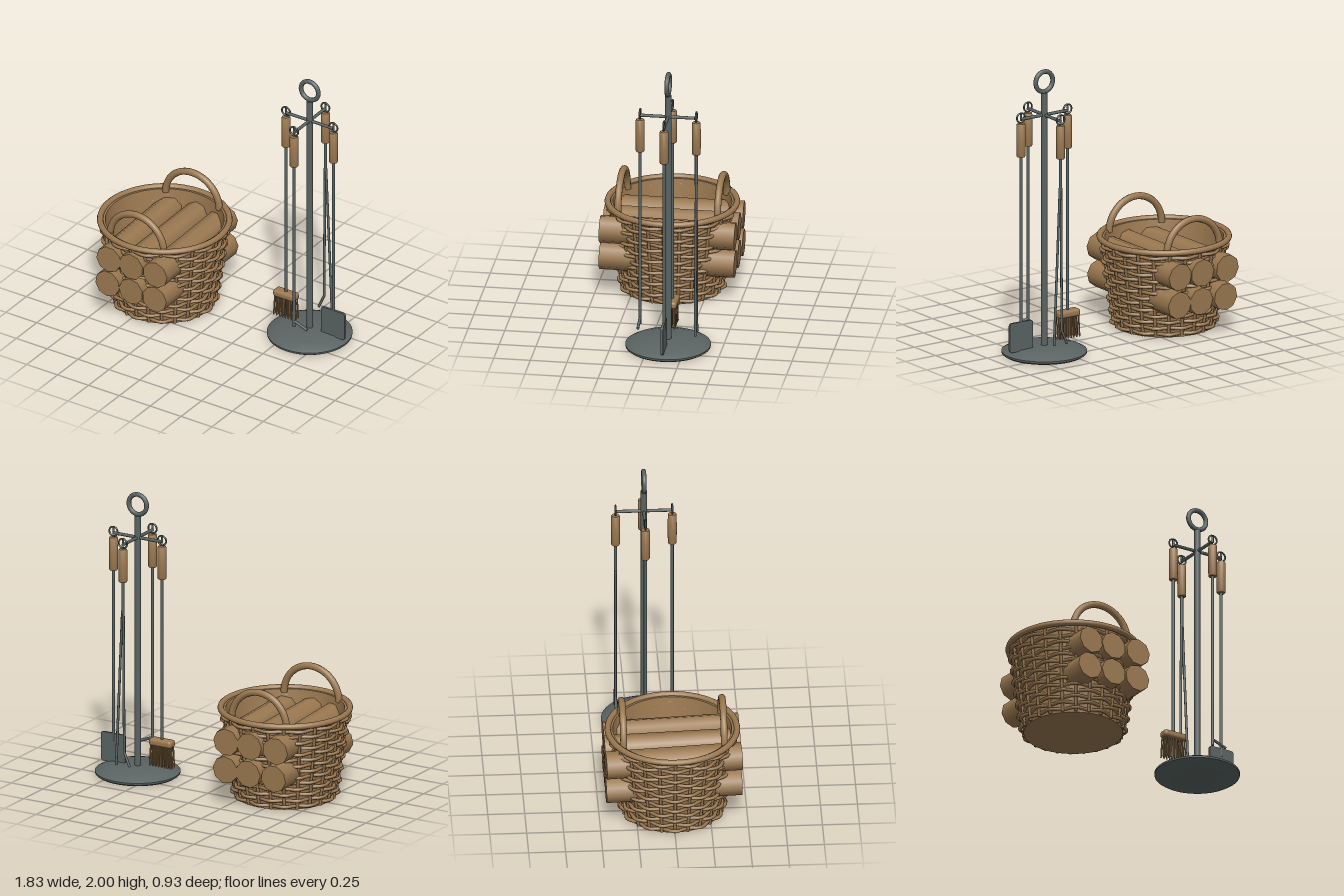
import * as THREE from 'three';
import { toCreasedNormals } from 'three/addons/utils/BufferGeometryUtils.js';
import { RoundedBoxGeometry } from 'three/addons/geometries/RoundedBoxGeometry.js';

const wood = new THREE.MeshStandardMaterial({ color: 0x9b7951 });
wood.name = 'brownWood';
const iron = new THREE.MeshStandardMaterial({ color: 0x5a6463 });
iron.name = 'darkIron';

const V = (x, y, z) => new THREE.Vector3(x, y, z);

function add(parent, name, geometry, material, x = 0, y = 0, z = 0) {
  const mesh = new THREE.Mesh(geometry, material);
  mesh.name = name;
  mesh.position.set(x, y, z);
  parent.add(mesh);
  return mesh;
}

// Straight round bar between two points
function bar(parent, name, a, b, radius, material, sides = 10) {
  const dir = b.clone().sub(a);
  const mid = a.clone().add(b).multiplyScalar(0.5);
  const mesh = add(parent, name, new THREE.CylinderGeometry(radius, radius, dir.length(), sides), material, mid.x, mid.y, mid.z);
  mesh.quaternion.setFromUnitVectors(V(0, 1, 0), dir.normalize());
  return mesh;
}

const lathe = (points, segments) =>
  toCreasedNormals(new THREE.LatheGeometry(points.map(p => new THREE.Vector2(...p)), segments), 0.6);

function createBasket() {
  const basket = new THREE.Group();
  basket.name = 'logBasket';
  basket.position.set(-0.46, 0, 0);
  const wallRadius = y => 0.335 + 0.135 * y;

  // Solid liner with floor
  add(basket, 'basketWall', lathe([[0, 0], [0.335, 0], [wallRadius(0.62), 0.62], [0.402, 0.62], [0.32, 0.03], [0, 0.03]], 48), wood);

  // Upright stakes
  const stakes = 24;
  for (let i = 0; i < stakes; i++) {
    const a = (i / stakes) * Math.PI * 2;
    const at = y => V(Math.cos(a) * (wallRadius(y) + 0.005), y, Math.sin(a) * (wallRadius(y) + 0.005));
    bar(basket, 'stake', at(0.005), at(0.61), 0.011, wood, 6);
  }

  // Woven rows passing alternately in front of and behind the stakes
  const rows = 14;
  for (let r = 0; r < rows; r++) {
    const y = 0.025 + r * 0.0425;
    const points = [];
    for (let i = 0; i < 96; i++) {
      const a = (i / 96) * Math.PI * 2;
      const radius = wallRadius(y) + 0.008 + 0.014 * Math.cos(a * stakes / 2 + r * Math.PI);
      points.push(V(Math.cos(a) * radius, y, Math.sin(a) * radius));
    }
    add(basket, 'wovenRow', new THREE.TubeGeometry(new THREE.CatmullRomCurve3(points, true), 144, 0.013, 6, true), wood);
  }

  // Rim and two hoop handles
  const rim = add(basket, 'rim', new THREE.TorusGeometry(0.437, 0.021, 10, 64), wood, 0, 0.62, 0);
  rim.rotation.x = Math.PI / 2;
  for (const side of [-1, 1]) {
    add(basket, 'basketHandle', new THREE.TorusGeometry(0.217, 0.024, 10, 32, Math.PI), wood, 0, 0.6, side * 0.34);
  }

  // Logs laid front to back in two rows: [front x, back x]
  const layers = [
    { front: 0.287, back: 0.268, xs: [[-0.16, -0.185], [0.03, 0.015], [0.22, 0.195]] },
    { front: 0.48, back: 0.465, xs: [[-0.15, -0.2], [0.03, 0.005], [0.225, 0.19]] },
  ];
  layers.forEach(({ front, back, xs }) => xs.forEach(([xf, xb], i) => {
    const log = bar(basket, 'log', V(xb, back, -0.46), V(xf, front, 0.46), 0.096, wood, 9);
    log.rotateY(i * 0.5);
  }));
  return basket;
}

function createStand() {
  const stand = new THREE.Group();
  stand.name = 'toolStand';
  stand.position.set(0.625, 0, -0.135);

  // Base, pole and carrying ring
  add(stand, 'standBase', lathe([[0, 0], [0.27, 0], [0.288, 0.012], [0.29, 0.026], [0.26, 0.042], [0.2, 0.06], [0, 0.065]], 48), iron);
  bar(stand, 'pole', V(0, 0.05, 0), V(0, 1.835, 0), 0.023, iron, 16);
  add(stand, 'carryRing', new THREE.TorusGeometry(0.07, 0.016, 10, 32), iron, 0, 1.914, 0);

  // Cross arms with upturned ends
  const reach = 0.192;
  bar(stand, 'crossArm', V(-reach, 1.68, 0), V(reach, 1.68, 0), 0.011, iron);
  bar(stand, 'crossArm', V(0, 1.68, -reach), V(0, 1.68, reach), 0.011, iron);
  for (const [x, z] of [[1, 0], [-1, 0], [0, 1], [0, -1]]) {
    bar(stand, 'armTip', V(x * reach, 1.67, z * reach), V(x * reach, 1.715, z * reach), 0.008, iron);
  }

  // Shared hanging ring, wooden grip and shaft of every tool
  function tool(name, x, z, shaftEnd) {
    const group = new THREE.Group();
    group.name = name;
    group.position.set(x * reach, 0, z * reach);
    stand.add(group);
    add(group, 'hangingRing', new THREE.TorusGeometry(0.033, 0.006, 8, 24), iron, 0, 1.69, 0);
    add(group, 'grip', lathe([[0, 1.417], [0.026, 1.417], [0.03, 1.424], [0.031, 1.53], [0.03, 1.642], [0.026, 1.65], [0, 1.65]], 16), wood);
    bar(group, 'shaft', V(0, shaftEnd, 0), V(0, 1.43, 0), 0.011, iron);
    return group;
  }

  // Brush
  const brush = tool('brush', -1, 0, 0.26);
  add(brush, 'brushHead', new RoundedBoxGeometry(0.176, 0.052, 0.076, 3, 0.02), wood, 0, 0.255, 0);
  for (let i = 0; i < 8; i++) {
    for (const z of [-0.022, 0, 0.022]) {
      const x = (i - 3.5) * 0.0215;
      bar(brush, 'bristle', V(x, 0.24, z), V(x * 1.1, 0.085, z * 1.15), 0.0055, wood, 6);
    }
  }

  // Shovel with a rounded flat blade
  const shovel = tool('shovel', 1, 0, 0.2);
  const w = 0.095, h = 0.103, c = 0.02;
  const blade = new THREE.Shape();
  blade.moveTo(-w + c, -h);
  blade.lineTo(w - c, -h);
  blade.quadraticCurveTo(w, -h, w, -h + c);
  blade.lineTo(w, h - c);
  blade.quadraticCurveTo(w, h, w - c, h);
  blade.lineTo(-w + c, h);
  blade.quadraticCurveTo(-w, h, -w, h - c);
  blade.lineTo(-w, -h + c);
  blade.quadraticCurveTo(-w, -h, -w + c, -h);
  add(shovel, 'shovelBlade', new THREE.ExtrudeGeometry(blade, { depth: 0.016, bevelEnabled: false }), iron, 0, 0.155, -0.008);

  // Poker with a side spur
  const poker = tool('poker', 0, 1, 0.16);
  bar(poker, 'pokerSpur', V(0, 0.205, 0), V(0.105, 0.165, 0), 0.01, iron);

  // Tongs
  const tongs = tool('tongs', 0, -1, 1.19);
  bar(tongs, 'tongLeg', V(0.005, 1.21, 0), V(0.053, 0.11, 0), 0.009, iron);
  bar(tongs, 'tongLeg', V(-0.004, 1.21, 0), V(-0.01, 0.205, 0), 0.009, iron);
  bar(tongs, 'tongTip', V(-0.01, 0.21, 0), V(-0.053, 0.11, 0), 0.009, iron);
  return stand;
}

export function createModel() {
  const model = new THREE.Group();
  model.name = 'firesideSet';
  model.add(createBasket(), createStand());
  return model;
}
